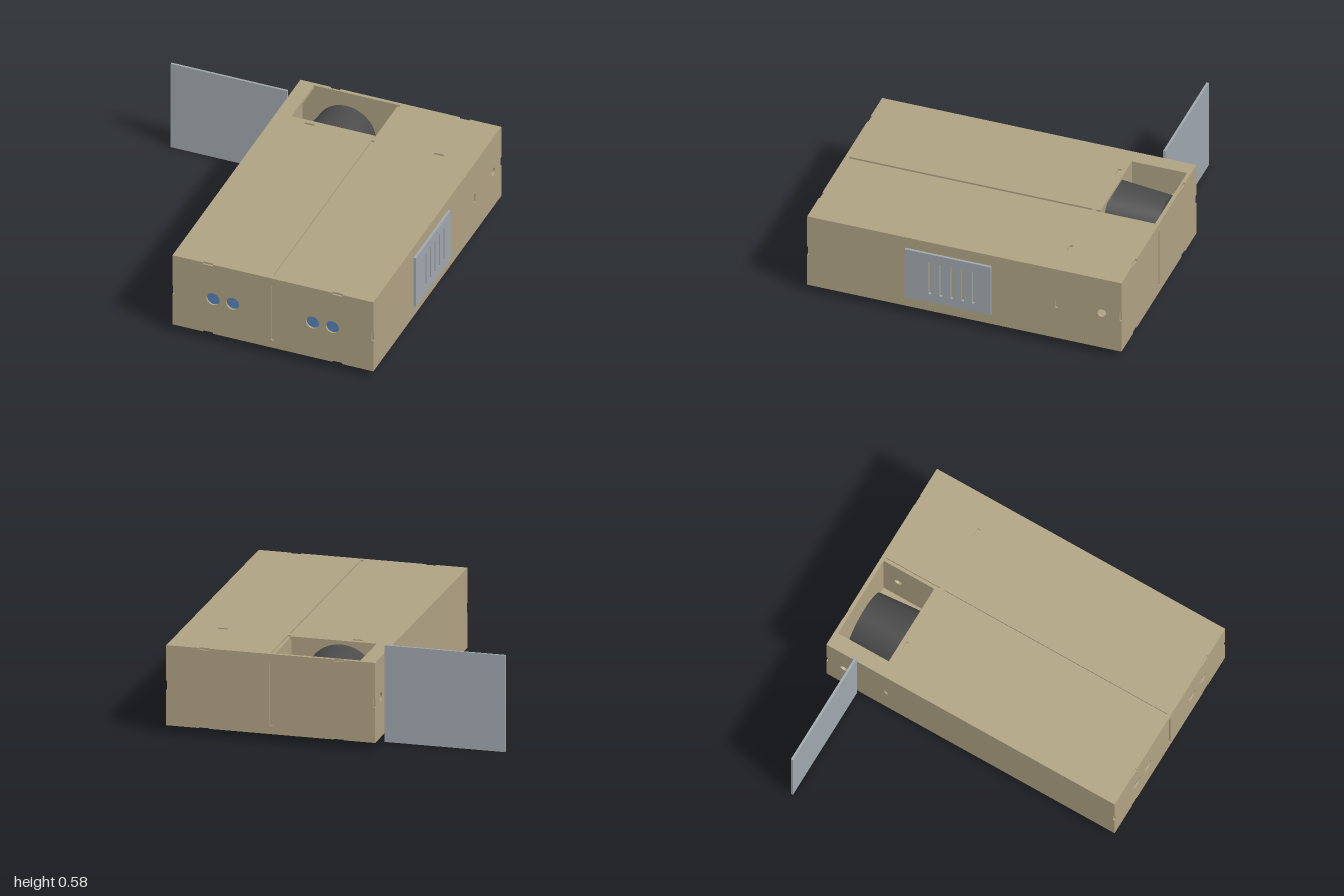
import * as THREE from 'three';

// Case extents and sheet thickness
const X0 = -0.273, X1 = 0.984, Y0 = 0.05, Y1 = 0.535, Z = 0.968, T = 0.02;
const MID_Y = 0.293, DIV_X = 0.353, WALL_Z = -0.567;
const TAB_X = [-0.052, 0.758], TAB = 0.062, NOTCH = 0.012, LUG = 0.009;

const mat = (name, color) => new THREE.MeshStandardMaterial({ name, color });

// Rectangle whose edges step out (depth > 0) or in (depth < 0); a step is [centre, width, depth]
function outline(u0, v0, u1, v1, { bottom = [], right = [], top = [], left = [] } = {}) {
  const p = [];
  const add = (u, v) => p.push(new THREE.Vector2(u, v));
  add(u0, v0);
  for (const [c, w, d] of bottom) {
    add(c - w / 2, v0); add(c - w / 2, v0 - d); add(c + w / 2, v0 - d); add(c + w / 2, v0);
  }
  add(u1, v0);
  for (const [c, w, d] of right) {
    add(u1, c - w / 2); add(u1 + d, c - w / 2); add(u1 + d, c + w / 2); add(u1, c + w / 2);
  }
  add(u1, v1);
  for (const [c, w, d] of [...top].reverse()) {
    add(c + w / 2, v1); add(c + w / 2, v1 + d); add(c - w / 2, v1 + d); add(c - w / 2, v1);
  }
  add(u0, v1);
  for (const [c, w, d] of left) {
    add(u0, c + w / 2); add(u0 - d, c + w / 2); add(u0 - d, c - w / 2); add(u0, c - w / 2);
  }
  return new THREE.Shape(p);
}

const polyHole = (pts) => new THREE.Path(pts.map(([u, v]) => new THREE.Vector2(u, v)));
const slot = (u0, v0, u1, v1) => polyHole([[u0, v0], [u0, v1], [u1, v1], [u1, v0]]);
const roundHole = (u, v, r) => new THREE.Path().absarc(u, v, r, 0, Math.PI * 2, true);

function sheet(shape, holes, depth) {
  shape.holes.push(...holes);
  return new THREE.ExtrudeGeometry(shape, { depth, bevelEnabled: false, curveSegments: 12 });
}

export function createModel() {
  const model = new THREE.Group();
  const tan = mat('tan board', 0xb0a383);
  const grey = mat('grey metal', 0xa0a8ae);
  const blue = mat('blue sensor', 0x5583b8);
  const dark = mat('dark grey', 0x4b4b4b);

  const add = (name, geometry, material, x = 0, y = 0, z = 0, parent = model) => {
    const mesh = new THREE.Mesh(geometry, material);
    mesh.name = name;
    mesh.position.set(x, y, z);
    parent.add(mesh);
    return mesh;
  };
  const box = (name, x0, y0, z0, x1, y1, z1, material, parent) =>
    add(name, new THREE.BoxGeometry(x1 - x0, y1 - y0, z1 - z0), material,
      (x0 + x1) / 2, (y0 + y1) / 2, (z0 + z1) / 2, parent);

  // Front and back panels with edge notches and the divider slot
  const eyes = [-0.02, 0.103, 0.603, 0.727];
  const notches = TAB_X.map((x) => [x, TAB, -NOTCH]);
  const sideNotch = [[MID_Y, 0.058, -NOTCH]];
  const endPanel = (holes) => sheet(
    outline(X0, Y0, X1, Y1, { bottom: notches, top: notches, left: sideNotch, right: sideNotch }),
    [slot(DIV_X - 0.01, 0.102, DIV_X + 0.01, 0.484), ...holes], T);
  add('frontPanel', endPanel(eyes.map((x) => roundHole(x, MID_Y, 0.041))), tan, 0, 0, Z - T);
  add('backPanel', endPanel([]), tan, 0, 0, -Z);

  // Blue sensors set behind the front holes
  for (const x of eyes) {
    add('sensor', new THREE.CylinderGeometry(0.041, 0.041, 0.04, 24).rotateX(Math.PI / 2),
      blue, x, MID_Y, Z - 0.032);
  }

  // Top and bottom panels; the top one has the roller opening joined to the rear divider slot
  const lugs = TAB_X.map((x) => [x, TAB, LUG]);
  const deck = (rearHole) => sheet(
    outline(X0, -Z + T, X1, Z - T, { bottom: lugs, top: lugs }),
    [rearHole, slot(DIV_X - 0.01, WALL_Z + 0.013, DIV_X + 0.01, 0.944),
      ...TAB_X.map((x) => slot(x - TAB / 2, WALL_Z - 0.01, x + TAB / 2, WALL_Z + 0.01))],
    T).rotateX(Math.PI / 2);
  const rearEnd = WALL_Z - 0.013;
  const opening = polyHole([[-0.178, -0.945], [-0.178, -0.605], [DIV_X - 0.01, -0.605],
    [DIV_X - 0.01, rearEnd], [DIV_X + 0.01, rearEnd], [DIV_X + 0.01, -0.945]]);
  add('topPanel', deck(opening), tan, 0, Y1, 0);
  add('bottomPanel', deck(slot(DIV_X - 0.01, -0.945, DIV_X + 0.01, rearEnd)), tan, 0, Y0 + T, 0);

  // Side panels with the axle hole and cross wall slot
  const sideLug = [[MID_Y, 0.058, LUG]];
  for (const [name, x] of [['leftPanel', X1], ['rightPanel', X0 + T]]) {
    add(name, sheet(
      outline(-Z + T, Y0 + T, Z - T, Y1 - T, { left: sideLug, right: sideLug }),
      [roundHole(-0.847, MID_Y, 0.027),
        slot(WALL_Z - 0.009, MID_Y - 0.029, WALL_Z + 0.009, MID_Y + 0.029)],
      T).rotateY(-Math.PI / 2), tan, x, 0, 0);
  }

  // Lengthwise divider, its tabs sunk into the slots of the outer panels
  const split = (sign) => [[(-0.945 + rearEnd) / 2, rearEnd + 0.945, LUG],
    [(WALL_Z + 0.013 + 0.944) / 2, 0.944 - WALL_Z - 0.013, LUG]];
  add('divider', sheet(
    outline(-Z + T, Y0 + T, Z - T, Y1 - T, {
      bottom: split(), top: split(), left: [[MID_Y, 0.382, LUG]], right: [[MID_Y, 0.382, LUG]],
    }), [roundHole(-0.847, MID_Y, 0.027)], T).rotateY(-Math.PI / 2), tan, DIV_X + 0.01, 0, 0);

  // Cross wall in front of the roller bay
  add('crossWall', sheet(
    outline(X0 + T, Y0 + T, X1 - T, Y1 - T, { bottom: lugs, top: lugs, left: sideLug, right: sideLug }),
    [], T), tan, 0, 0, WALL_Z - T / 2);

  // Tapered roller, wider toward the front
  add('roller', new THREE.CylinderGeometry(0.211, 0.184, 0.32, 48).rotateX(Math.PI / 2),
    dark, 0.043, MID_Y, -0.74);

  // Slotted vent plate on the left side
  const ventSlots = [0.208, 0.14, 0.072, 0.005, -0.062]
    .map((z) => slot(z - 0.008, 0.18, z + 0.008, 0.403));
  add('ventPlate', sheet(outline(-0.168, 0.123, 0.362, 0.462), ventSlots, 0.016)
    .rotateY(-Math.PI / 2), grey, 1, 0, 0);

  // Upright flat plate beyond the right side
  box('sidePlate', -1, 0, -0.777, X0, 0.585, -0.763, grey);

  return model;
}
